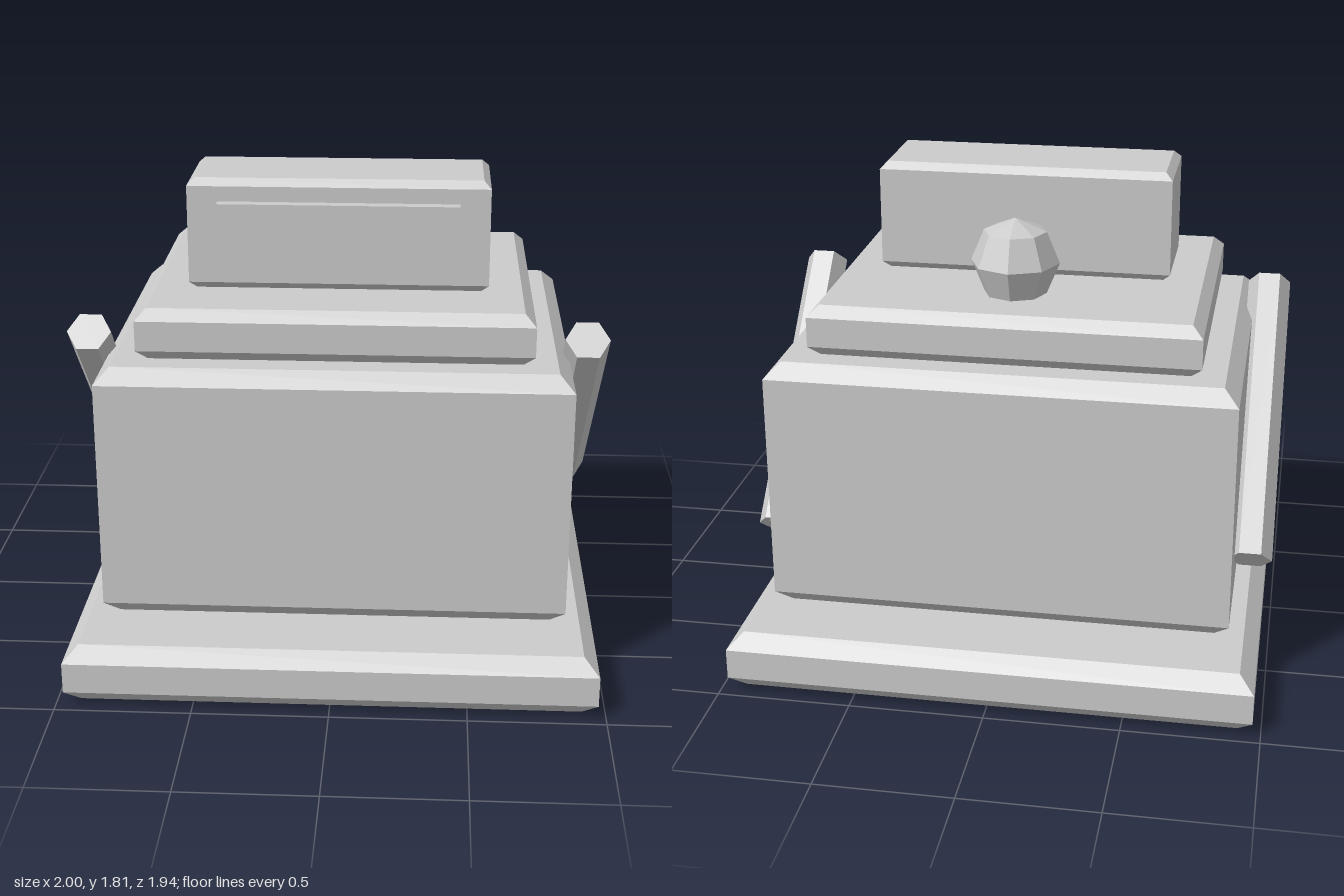
import * as THREE from 'three';

const material = new THREE.MeshStandardMaterial({ color: 0xcccccc, flatShading: true });

function addMesh(parent, name, geometry) {
  const mesh = new THREE.Mesh(geometry, material);
  mesh.name = name;
  parent.add(mesh);
  return mesh;
}

// Block with bevelled top and bottom rims and sharp upright corners
function bevelledBlock(halfX, halfZ, y0, y1, bevel) {
  const x = halfX - bevel, z = halfZ - bevel;
  const outline = new THREE.Shape([
    new THREE.Vector2(-x, -z), new THREE.Vector2(x, -z),
    new THREE.Vector2(x, z), new THREE.Vector2(-x, z),
  ]);
  const geometry = new THREE.ExtrudeGeometry(outline, {
    depth: y1 - y0 - 2 * bevel,
    bevelEnabled: true, bevelSegments: 1, bevelSize: bevel, bevelThickness: bevel,
  });
  return geometry.rotateX(-Math.PI / 2).translate(0, y0 + bevel, 0);
}

export function createModel() {
  const model = new THREE.Group();
  model.name = 'machine';

  // Stacked blocks
  addMesh(model, 'base', bevelledBlock(0.97, 0.97, 0, 0.225, 0.055));
  addMesh(model, 'body', bevelledBlock(0.86, 0.695, 0.225, 1.2, 0.055));
  addMesh(model, 'upperStep', bevelledBlock(0.72, 0.583, 1.2, 1.392, 0.04));

  // Display head with its raised front panel
  addMesh(model, 'head', bevelledBlock(0.555, 0.193, 1.392, 1.81, 0.027)).position.z = 0.113;
  addMesh(model, 'displayPanel', new THREE.BoxGeometry(0.885, 0.25, 0.08)).position.set(0, 1.602, 0.308);

  // Faceted knob behind the head
  addMesh(model, 'knob', new THREE.SphereGeometry(0.166, 8, 4)).position.set(0, 1.51, -0.279);

  // Slanted hexagonal side levers
  for (const [name, side] of [['leftLever', 1], ['rightLever', -1]]) {
    const geometry = new THREE.CylinderGeometry(0.0825, 0.0825, 1.175, 6);
    geometry.rotateY(Math.PI / 2).rotateX(Math.PI / 4);
    addMesh(model, name, geometry).position.set(side * 0.9175, 0.839, 0);
  }
  return model;
}
